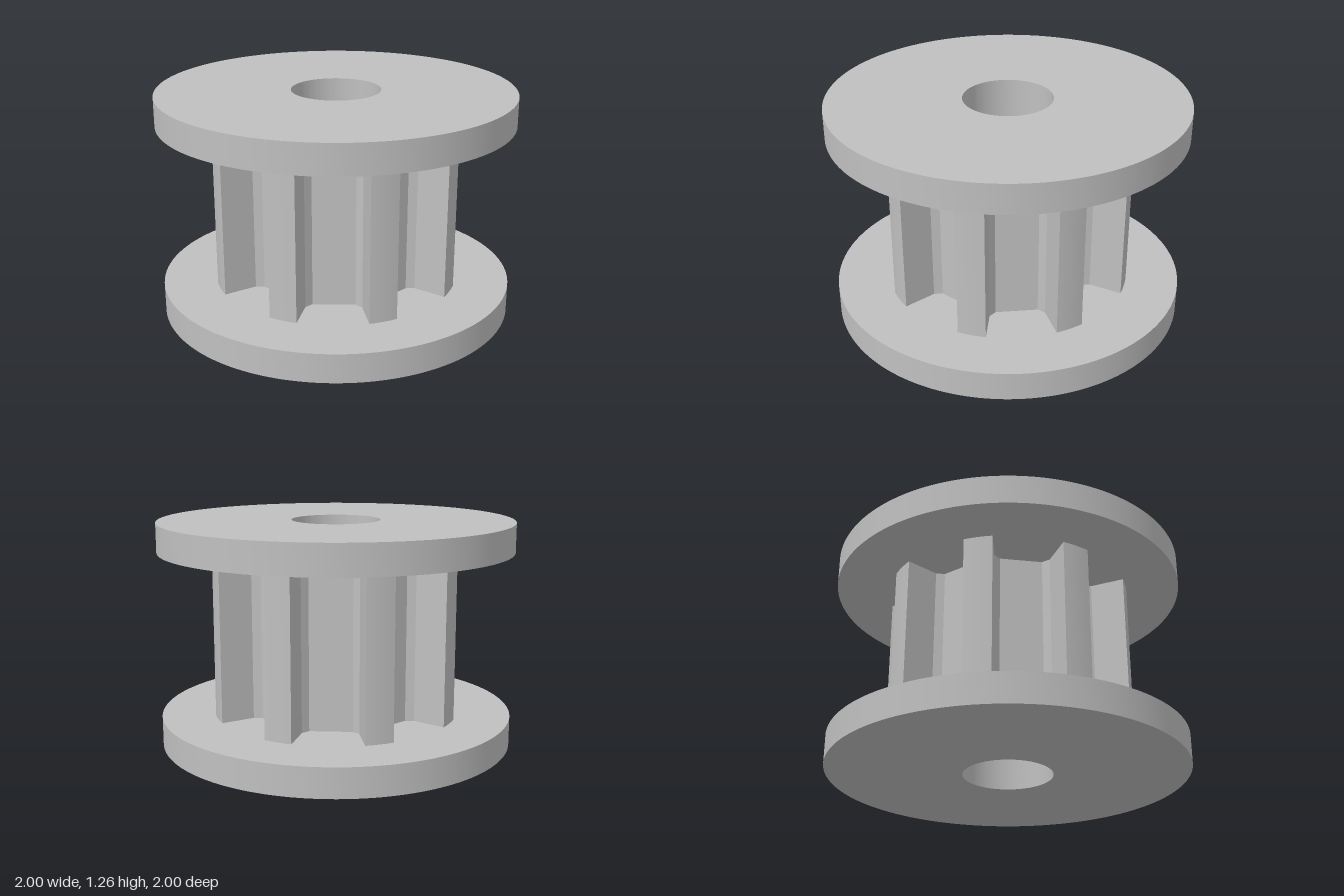
import * as THREE from 'three';
import { toCreasedNormals } from 'three/addons/utils/BufferGeometryUtils.js';

const BORE = 0.25, FLANGE_R = 1, TOOTH_R = 0.7;
const FLANGE_H = 0.165, TOTAL_H = 1.265, TEETH = 8;

// Extrude a plan outline upwards from height y, with the shaft bore cut through it
function boredPlate(name, shape, y, height, material) {
  const bore = new THREE.Path();
  bore.absarc(0, 0, BORE, 0, Math.PI * 2, true);
  shape.holes.push(bore);
  let geometry = new THREE.ExtrudeGeometry(shape, { depth: height, bevelEnabled: false, curveSegments: 96 });
  geometry.rotateX(-Math.PI / 2);
  geometry = toCreasedNormals(geometry, 0.4);
  const mesh = new THREE.Mesh(geometry, material);
  mesh.name = name;
  mesh.position.y = y;
  return mesh;
}

function flangeShape() {
  const shape = new THREE.Shape();
  shape.absarc(0, 0, FLANGE_R, 0, Math.PI * 2, false);
  return shape;
}

// Toothed outline: flat-bottomed grooves with chamfered corners, and rounded tooth lands
function toothedShape() {
  const points = [];
  const step = (Math.PI * 2) / TEETH;
  const half = Math.asin(0.1925 / TOOTH_R); // half angle of the groove mouth
  const groove = [[-0.155, 0.483], [-0.118, 0.449], [0.118, 0.449], [0.155, 0.483]]; // tangent, radius
  for (let i = 0; i < TEETH; i++) {
    const a = i * step, c = Math.cos(a), s = Math.sin(a);
    for (const [t, r] of groove) points.push(new THREE.Vector2(r * c - t * s, r * s + t * c));
    for (let k = 0; k <= 6; k++) {
      const b = a + half + ((step - 2 * half) * k) / 6;
      points.push(new THREE.Vector2(TOOTH_R * Math.cos(b), TOOTH_R * Math.sin(b)));
    }
  }
  return new THREE.Shape(points);
}

export function createModel() {
  const group = new THREE.Group();
  group.name = 'timingPulley';
  const grey = new THREE.MeshStandardMaterial({ color: 0xc0c0c0 });
  grey.name = 'grey';

  group.add(
    boredPlate('lowerFlange', flangeShape(), 0, FLANGE_H, grey),
    boredPlate('toothedHub', toothedShape(), FLANGE_H, TOTAL_H - 2 * FLANGE_H, grey),
    boredPlate('upperFlange', flangeShape(), TOTAL_H - FLANGE_H, FLANGE_H, grey),
  );
  return group;
}
